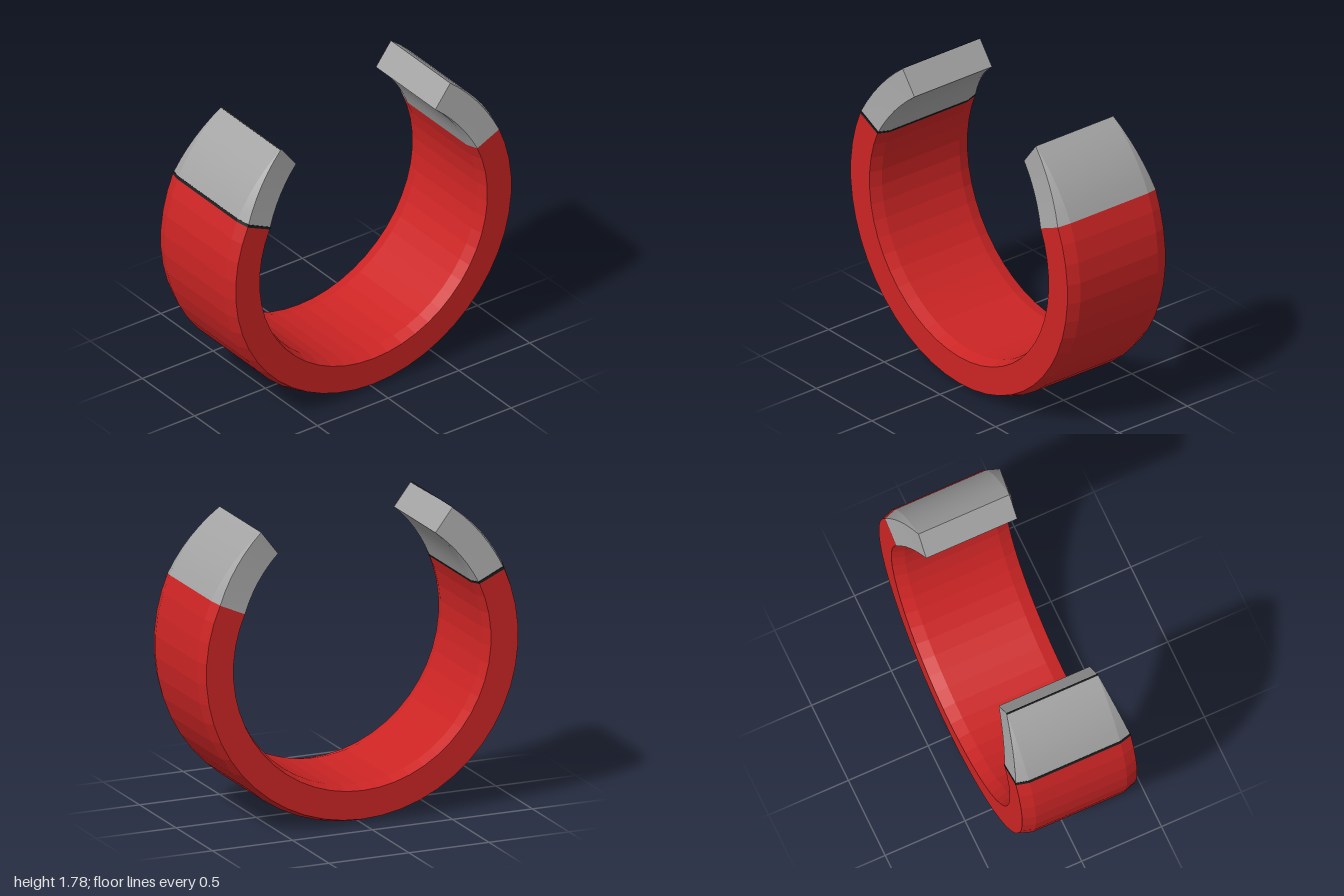
import * as THREE from 'three';
import { toCreasedNormals } from 'three/addons/utils/BufferGeometryUtils.js';

const DEG = Math.PI / 180;
const SEAM = 24.4, TIP = 52.6, STEP = 7.2;

// Chamfered section as [radius, z] corners; taper 0 = full band, 1 = square narrow tip
function section(taper, grow = 0) {
  const mix = (a, b) => a + (b - a) * taper;
  const zf = mix(0.36, 0.285) + grow, ze = 0.285;
  const inner = mix(0.785, 0.81) - grow, innerFace = mix(0.805, 0.81) - grow;
  const outer = mix(1, 0.984) + grow, outerFace = mix(0.975, 0.984) + grow;
  return [[inner, -ze], [innerFace, -zf], [outerFace, -zf], [outer, -ze],
    [outer, ze], [outerFace, zf], [innerFace, zf], [inner, ze]];
}

// Sweeps a section around the band centre through the given angles, with end caps
function sweep(angles, sectionAt, crease) {
  const rings = angles.map((deg) => sectionAt(deg).map(([r, z]) =>
    [r * Math.cos(deg * DEG), 1 + r * Math.sin(deg * DEG), z]));
  const pos = [];
  const tri = (a, b, c) => pos.push(...a, ...b, ...c);
  const n = rings[0].length, last = rings[rings.length - 1];
  for (let i = 0; i < rings.length - 1; i++) {
    for (let j = 0; j < n; j++) {
      const k = (j + 1) % n;
      tri(rings[i][j], rings[i + 1][j], rings[i][k]);
      tri(rings[i + 1][j], rings[i + 1][k], rings[i][k]);
    }
  }
  for (let j = 1; j < n - 1; j++) {
    tri(rings[0][0], rings[0][j], rings[0][j + 1]);
    tri(last[0], last[j + 1], last[j]);
  }
  const geo = new THREE.BufferGeometry();
  geo.setAttribute('position', new THREE.Float32BufferAttribute(pos, 3));
  geo.computeVertexNormals();
  return crease ? toCreasedNormals(geo, crease) : geo;
}

function range(a, b, count) {
  return Array.from({ length: count + 1 }, (_, i) => a + (b - a) * i / count);
}

export function createModel() {
  const red = new THREE.MeshStandardMaterial({ color: 0xcc2424 });
  const grey = new THREE.MeshStandardMaterial({ color: 0xa3a3a3 });
  const black = new THREE.MeshStandardMaterial({ color: 0x1c1c1c });
  red.name = 'red';
  grey.name = 'grey';
  black.name = 'black';

  const group = new THREE.Group();
  group.name = 'openBand';
  const add = (name, geo, mat) => {
    const mesh = new THREE.Mesh(geo, mat);
    mesh.name = name;
    group.add(mesh);
  };

  // Main faceted band, open at the top
  const bandAngles = [180 - SEAM];
  for (let k = -15; k <= 15; k++) bandAngles.push(270 + k * STEP);
  bandAngles.push(360 + SEAM);
  add('band', sweep(bandAngles, () => section(0)), red);

  // Tapering end pieces
  const taper = (deg) => (Math.min(deg, 180 - deg) < SEAM ? 0
    : (Math.min(deg, 180 - deg) - SEAM) / (TIP - SEAM));
  const endSection = (deg) => section(taper(deg));
  add('leftEnd', sweep(range(SEAM, TIP, 6), endSection, 0.2), grey);
  add('rightEnd', sweep(range(180 - TIP, 180 - SEAM - 0.8, 6), endSection, 0.2), grey);

  // Dark joint under the right end
  add('rightJoint', sweep([180 - SEAM - 0.9, 180 - SEAM + 0.1], () => section(0, 0.001)), black);

  // Dark line along the outer edge of the right tip
  const strip = [[0.978, -0.285], [0.987, -0.285], [0.987, 0.285], [0.978, 0.285]];
  add('rightTipLine', sweep([180 - TIP, 180 - TIP + 0.5], () => strip), black);

  return group;
}
